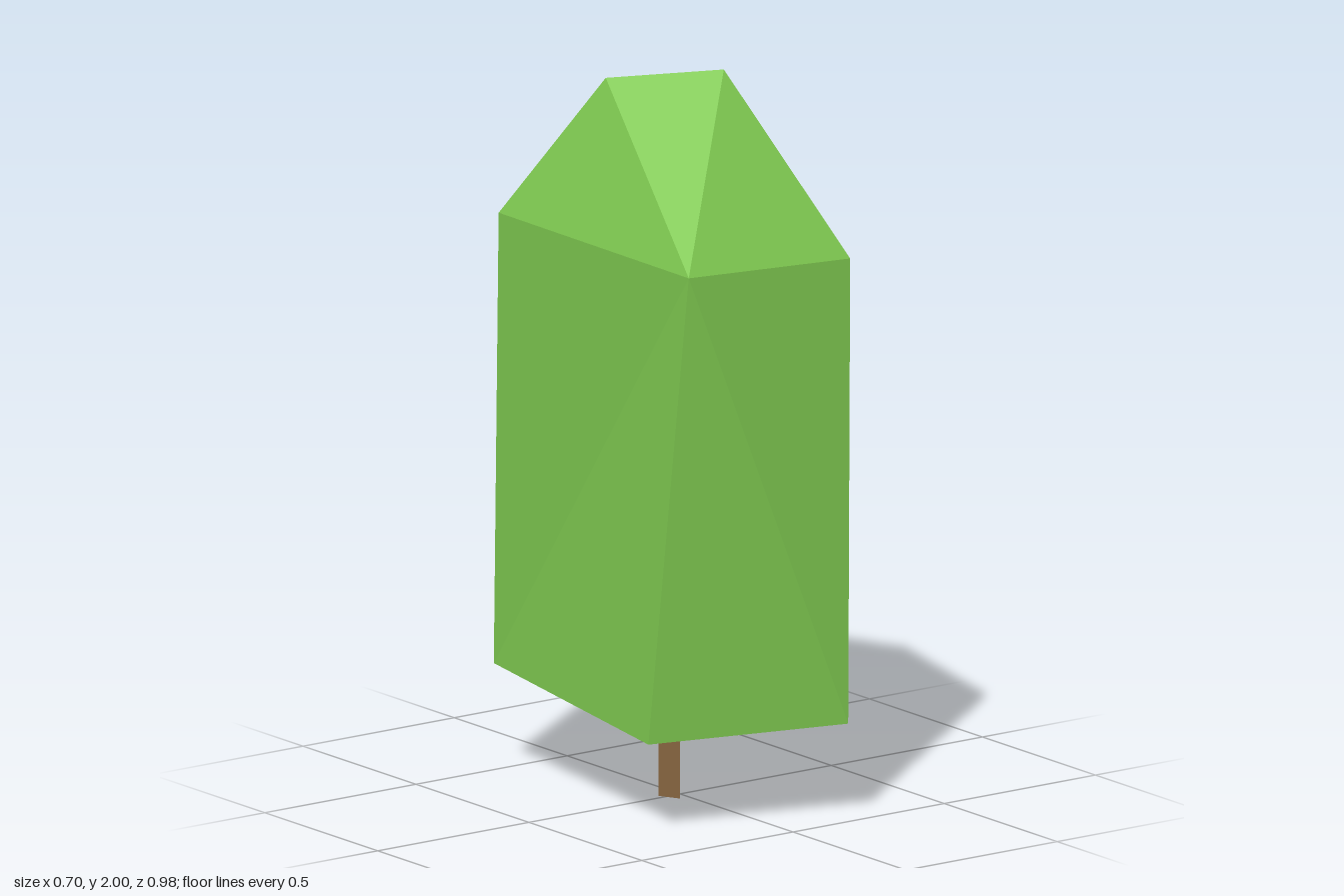
import * as THREE from 'three';

// Closed faceted crown: lower ring, upper ring and a two-point ridge
function crownGeometry() {
  const lower = [[-0.355, 0.26, 0.335], [0.19, 0.265, 0.49], [0.35, 0.29, -0.195], [-0.25, 0.295, -0.49]];
  const upper = [[-0.3, 1.55, 0.44], [0.26, 1.51, 0.405], [0.29, 1.51, -0.36], [-0.29, 1.55, -0.415]];
  const peak = [0.055, 2, 0.12];
  const shoulder = [-0.145, 1.955, -0.135];
  const faces = [];

  // Sides, two triangles each; the left one is split the other way
  for (let i = 0; i < 4; i++) {
    const j = (i + 1) % 4;
    if (i < 3) faces.push([lower[i], lower[j], upper[i]], [lower[j], upper[j], upper[i]]);
    else faces.push([lower[i], lower[j], upper[j]], [lower[i], upper[j], upper[i]]);
  }

  // Roof facets around the ridge
  const [a, b, c, d] = upper;
  faces.push([a, b, peak], [b, c, peak], [c, shoulder, peak],
    [c, d, shoulder], [d, a, shoulder], [a, peak, shoulder]);

  // Underside
  faces.push([lower[0], lower[3], lower[2]], [lower[0], lower[2], lower[1]]);

  const geometry = new THREE.BufferGeometry();
  geometry.setAttribute('position', new THREE.Float32BufferAttribute(faces.flat(2), 3));
  geometry.computeVertexNormals();
  return geometry;
}

export function createModel() {
  const tree = new THREE.Group();
  tree.name = 'tree';

  const crown = new THREE.Mesh(crownGeometry(),
    new THREE.MeshStandardMaterial({ color: 0x7ec850, flatShading: true }));
  crown.name = 'crown';

  // Three-sided trunk with one edge to the front
  const trunk = new THREE.Mesh(new THREE.CylinderGeometry(0.034, 0.034, 0.32, 3),
    new THREE.MeshStandardMaterial({ color: 0x85643f, flatShading: true }));
  trunk.name = 'trunk';
  trunk.scale.z = 1.13;
  trunk.position.set(-0.029, 0.16, 0.001);

  tree.add(crown, trunk);
  return tree;
}
